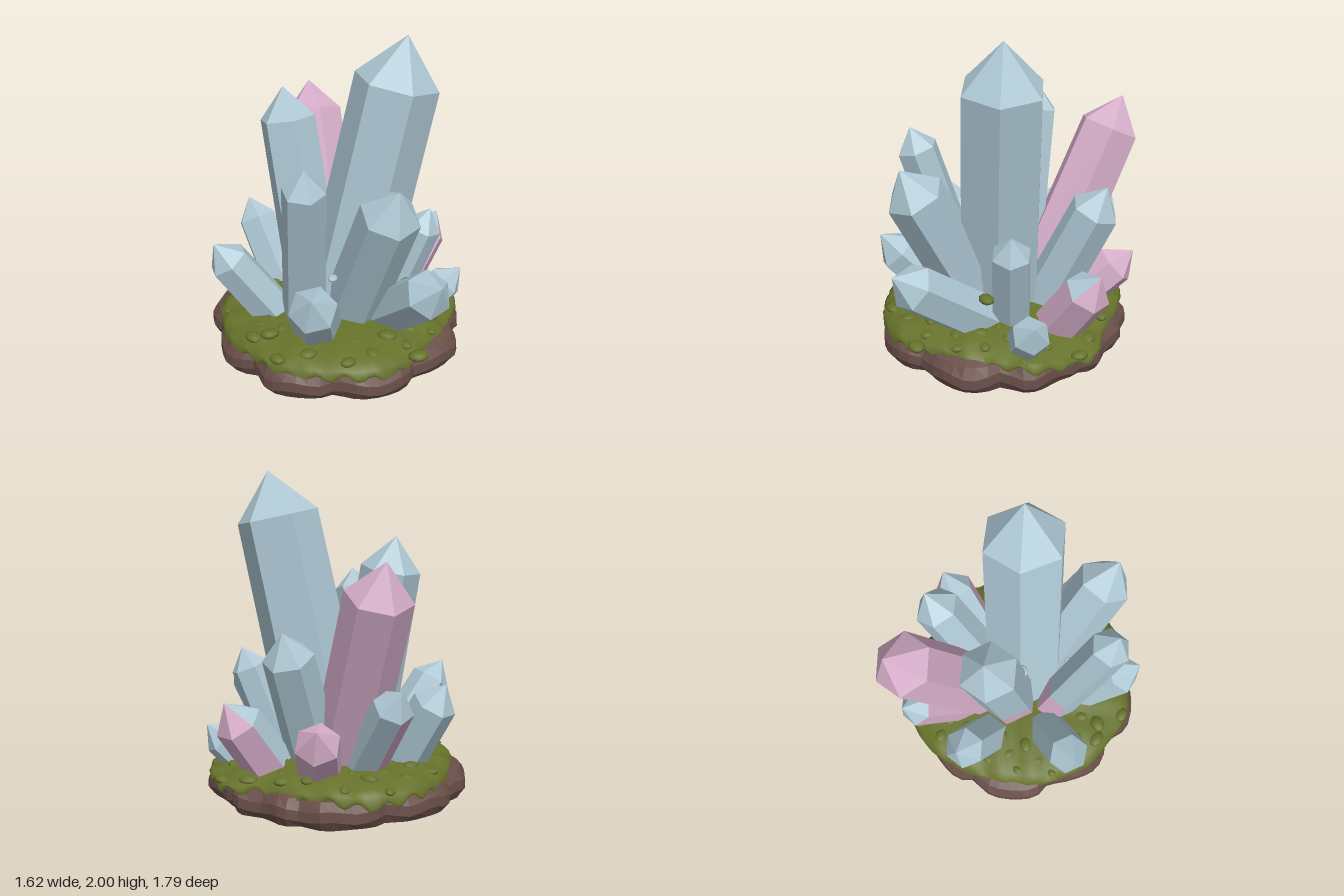
import * as THREE from 'three';

const mat = (name, color) => {
  const m = new THREE.MeshStandardMaterial({ color });
  m.name = name;
  return m;
};

// Outlines: radius every 15 degrees, from +x towards +z
const ROCK_RADII = [
  .75, .81, .8, .83, .8, .82, .83, .82, .82, .84, .81, .82,
  .79, .83, .83, .83, .81, .78, .78, .77, .8, .79, .73, .81,
];
const MOSS_RADII = [
  .79, .78, .73, .73, .72, .77, .8, .79, .78, .79, .76, .77,
  .75, .75, .73, .73, .75, .78, .79, .78, .73, .7, .7, .8,
];

// Smooth closed loop of points; notch cuts it into nine lobes
function outline(radii, count, notch) {
  const corners = radii.map((r, i) => {
    const a = (i / radii.length) * Math.PI * 2;
    return new THREE.Vector3(r * Math.cos(a), 0, r * Math.sin(a));
  });
  const curve = new THREE.CatmullRomCurve3(corners, true);
  return Array.from({ length: count }, (_, j) => {
    const lobe = Math.abs(Math.sin((j / count) * Math.PI * 9 + .9));
    return curve.getPoint(j / count).multiplyScalar(1 - notch * (1 - lobe) ** 2);
  });
}

// Skin over scaled copies of a loop; rings are [scale, y], heightAt adjusts y
function loft(base, rings, heightAt) {
  const count = base.length, pos = [], index = [];
  rings.forEach(([s, y], i) => base.forEach((p, j) => {
    const x = p.x * s, z = p.z * s;
    pos.push(x, heightAt(x, y, z, i, j), z);
  }));
  for (let i = 0; i < rings.length - 1; i++) {
    for (let j = 0; j < count; j++) {
      const a = i * count + j, b = i * count + (j + 1) % count;
      const c = b + count, d = a + count;
      index.push(a, d, c, a, c, b);
    }
  }
  const g = new THREE.BufferGeometry();
  g.setAttribute('position', new THREE.Float32BufferAttribute(pos, 3));
  g.setIndex(index);
  return g;
}

// Six-sided pointed crystal; isPink(normal, section) picks the material of a face
// section: 0 root, 1 body, 2 point
function crystalGeometry(from, to, radius, isPink) {
  const axis = to.clone().sub(from);
  const length = axis.length();
  axis.normalize();
  const u = new THREE.Vector3(0, 0, 1).addScaledVector(axis, -axis.z).normalize();
  const v = axis.clone().cross(u);
  const spin = to.y < .7 ? .3 : 0;
  const shoulder = length - radius * 1.1;
  const corner = (k, t) => {
    const a = (k * Math.PI) / 3 + spin;
    const r = radius * (1.08 - .08 * t);
    return from.clone().addScaledVector(axis, shoulder * t)
      .addScaledVector(u, r * Math.cos(a)).addScaledVector(v, r * Math.sin(a));
  };
  const levels = [0, .32, 1];
  const sets = [[], []];
  const add = (section, a, b, c) => {
    const n = b.clone().sub(a).cross(c.clone().sub(a)).normalize();
    const list = sets[isPink(n, section) ? 1 : 0];
    [a, b, c].forEach((p) => list.push(p.x, p.y, p.z));
  };
  for (let k = 0; k < 6; k++) {
    for (let i = 0; i < 2; i++) {
      const a = corner(k, levels[i]), b = corner(k + 1, levels[i]);
      const c = corner(k + 1, levels[i + 1]), d = corner(k, levels[i + 1]);
      add(i, a, b, c);
      add(i, a, c, d);
    }
    add(2, corner(k, 1), corner(k + 1, 1), to);
  }
  const g = new THREE.BufferGeometry();
  g.setAttribute('position', new THREE.Float32BufferAttribute(sets.flat(), 3));
  g.addGroup(0, sets[0].length / 3, 0);
  g.addGroup(sets[0].length / 3, sets[1].length / 3, 1);
  g.computeVertexNormals();
  return g;
}

export function createModel() {
  const model = new THREE.Group();
  const blue = mat('paleBlueCrystal', 0xaec8d4);
  const pink = mat('pinkCrystal', 0xd6aeca);
  const green = mat('mossGreen', 0x66722b);
  const brown = mat('rockBrown', 0x6a4f4a);
  const dark = mat('darkUnderside', 0x46363f);
  const add = (name, geometry, material) => {
    const mesh = new THREE.Mesh(geometry, material);
    mesh.name = name;
    model.add(mesh);
    return mesh;
  };

  // Lobed rock base, faceted, with a dark underside
  const rockLoop = outline(ROCK_RADII, 72, .09);
  const rock = loft(rockLoop, [[.96, 0], [1, .05], [.995, .11], [.95, .165], [.85, .2], [0, .2]],
    (x, y, z, i, j) => (i === 1 || i === 2 ? y + .012 * Math.sin(j * 1.3) : y)).toNonIndexed();
  rock.computeVertexNormals();
  add('rockBase', rock, brown);
  const underside = loft(rockLoop, [[0, 0], [.96, 0]], (x, y) => y);
  underside.computeVertexNormals();
  add('rockUnderside', underside, dark);

  // Moss cap with a dripping edge and a lumpy top, lower on the right
  const mossHeight = (x, z) => {
    const lump = .008 * (Math.sin(x * 23 + z * 9) + Math.sin(z * 27 - x * 11));
    return lump - .04 * THREE.MathUtils.smoothstep(x, .35, .75);
  };
  const moss = loft(outline(MOSS_RADII, 160, 0),
    [[1.01, .145], [1.02, .165], [1, .2], [.945, .23], [.82, .258], [.65, .275], [.45, .29], [0, .3]],
    (x, y, z, i, j) => {
      if (i < 2) return y - .024 * Math.sin(j * 1.18) - .012 * Math.sin(j * .37);
      return y + mossHeight(x, z) * Math.min(1, (i - 1) / 2);
    });
  moss.computeVertexNormals();
  add('mossCap', moss, green);

  // Flattened pebbles of moss and crystal
  const ball = new THREE.SphereGeometry(1, 10, 7);
  const pebble = (name, material, x, y, z, r, turn) => {
    const m = add(name, ball, material);
    m.position.set(x, y, z);
    m.scale.set(r * 1.3, r * .6, r);
    m.rotation.y = turn;
  };
  outline(MOSS_RADII, 56, 0).forEach((p, i) => {
    const s = .6 + .38 * ((i * .618) % 1), r = .024 + .024 * ((i * .414) % 1);
    const x = p.x * s, z = p.z * s;
    pebble('mossClump', green, x, .3 - .085 * s * s + mossHeight(x, z), z, r, i);
  });
  pebble('frontMossBall', green, .27, .2, .74, .05, 0);
  pebble('leftMossBall', green, -.54, .275, .35, .045, 0);
  pebble('raisedMossBall', green, .37, .46, .32, .045, 0);
  pebble('upperChip', blue, -.17, .95, -.05, .03, 0);
  pebble('frontChip', blue, -.13, .57, .32, .03, 1);
  for (let i = 0; i < 4; i++) pebble('backChip', blue, .18 + i * .02, .47 - i * .05, -.4 + i * .02, .035, i);

  // Face colour rules
  const plain = () => false;
  const rosy = () => true;
  const outerSide = (n, section) => n.y - n.x * .6 < (section === 2 ? .5 : .4);
  const leftSide = (n, section) => section < 2 && n.x < -.3;
  const leftRoot = (n, section) => section === 0 && n.x < -.8;
  const backRoot = (n, section) => section === 0 && n.z < -.3;

  // Crystals: name, root x z, tip x y z, radius, colour rule
  const crystal = (name, rootX, rootZ, tipX, tipY, tipZ, radius, isPink) => {
    const root = new THREE.Vector3(rootX, .14, rootZ);
    const tip = new THREE.Vector3(tipX, tipY, tipZ);
    add(name, crystalGeometry(root, tip, radius, isPink), [blue, pink]);
  };
  crystal('mainCrystal', .005, .05, .365, 2, .2, .257, plain);
  crystal('tallBackCrystal', -.1, -.1, -.25, 1.61, -.33, .18, leftRoot);
  crystal('tallLeftCrystal', -.26, .12, -.35, 1.36, .49, .13, backRoot);
  crystal('frontCrystal', .02, .14, .12, 1.27, .74, .18, plain);
  crystal('leftCrystal', -.36, .03, -.795, .76, .02, .132, plain);
  crystal('frontLeftCrystal', -.2, .24, -.38, .665, .71, .145, plain);
  crystal('frontRightCrystal', .2, .14, .33, .72, .89, .148, plain);
  crystal('bigPinkCrystal', .04, -.18, .06, 1.5, -.815, .198, rosy);
  crystal('backRightPinkCrystal', .2, -.25, .42, .58, -.7, .135, rosy);
  crystal('rightBackCrystal', .17, -.13, .51, 1.09, -.42, .153, plain);
  crystal('rightCrystal', .27, .1, .535, .91, .24, .122, plain);
  crystal('smallRightCrystal', .49, .14, .78, .44, .215, .117, plain);
  crystal('twoToneRightCrystal', .42, -.1, .79, .67, -.21, .145, outerSide);
  crystal('backLeftCrystal', -.25, -.32, -.43, .76, -.635, .135, plain);
  crystal('twoToneBackCrystal', 0, -.32, -.03, .79, -.83, .122, leftSide);

  return model;
}
